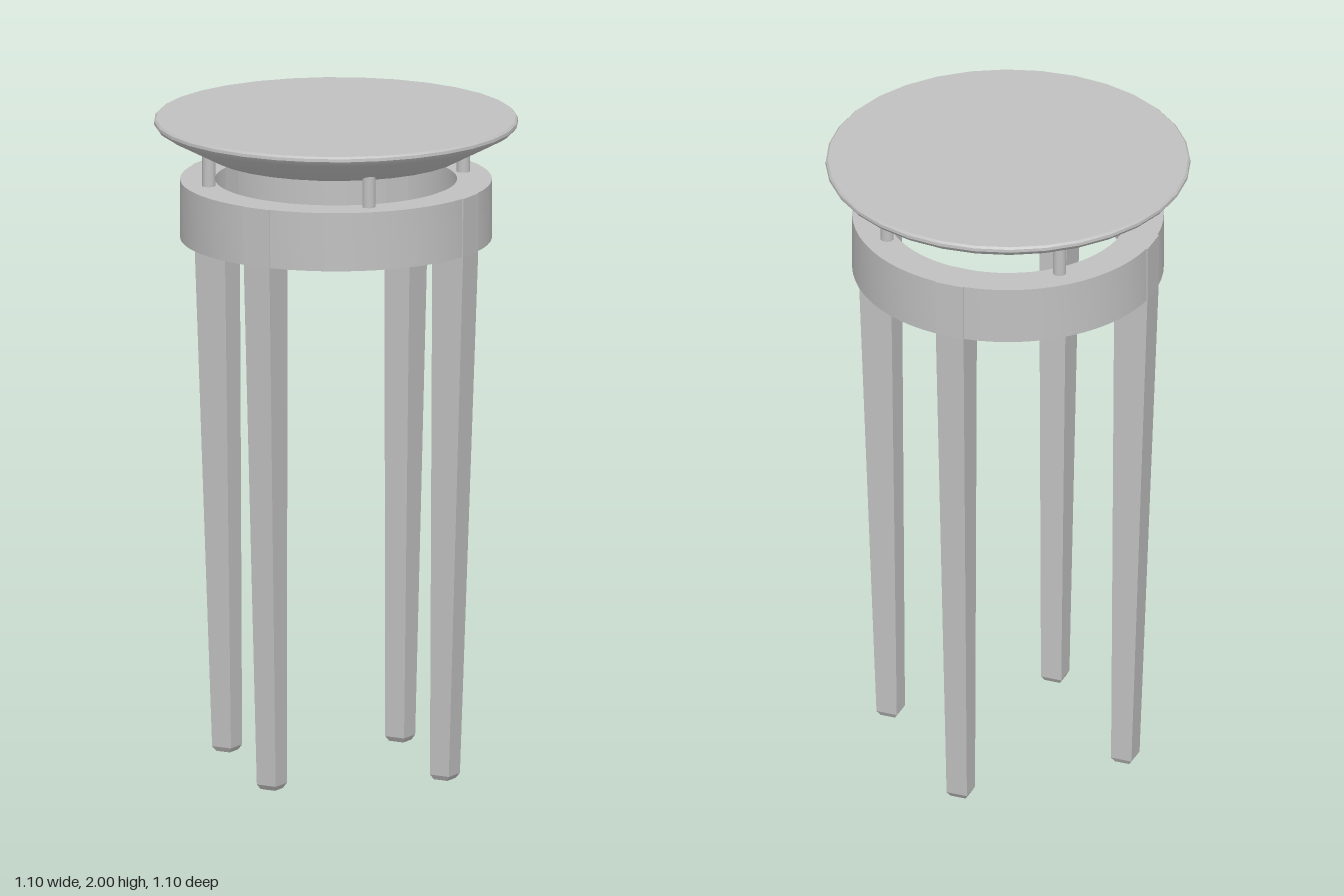
import * as THREE from 'three';
import { toCreasedNormals } from 'three/addons/utils/BufferGeometryUtils.js';

const grey = new THREE.MeshStandardMaterial({ color: 0xc0c0c0 });
grey.name = 'plain grey';

function part(name, geometry) {
  const mesh = new THREE.Mesh(geometry, grey);
  mesh.name = name;
  return mesh;
}

// Turned part from [radius, height] points, with sharp edges kept
function turned(points, segments) {
  const profile = points.map(([r, y]) => new THREE.Vector2(r, y));
  return toCreasedNormals(new THREE.LatheGeometry(profile, segments), 0.6);
}

// Tapered square leg on the +z side, from sections [y, inner z, outer z, half width]
function legGeometry() {
  const sections = [
    [0, 0.357, 0.404, 0.025],
    [0.015, 0.348, 0.414, 0.033],
    [1.63, 0.363, 0.471, 0.045],
    [1.81, 0.363, 0.472, 0.045],
  ];
  const positions = [];
  const index = [];
  for (const [y, inner, outer, w] of sections) {
    positions.push(-w, y, outer, w, y, outer, w, y, inner, -w, y, inner);
  }
  for (let s = 0; s < sections.length - 1; s++) {
    for (let i = 0; i < 4; i++) {
      const a = s * 4 + i;
      const b = s * 4 + (i + 1) % 4;
      index.push(a, b, b + 4, a, b + 4, a + 4);
    }
  }
  const t = (sections.length - 1) * 4;
  index.push(0, 2, 1, 0, 3, 2, t, t + 1, t + 2, t, t + 2, t + 3);
  const geometry = new THREE.BufferGeometry();
  geometry.setAttribute('position', new THREE.Float32BufferAttribute(positions, 3));
  geometry.setIndex(index);
  const flat = geometry.toNonIndexed();
  flat.computeVertexNormals();
  return flat;
}

export function createModel() {
  const model = new THREE.Group();
  model.name = 'stool';

  // Round top with a rounded rim and sloping underside
  model.add(part('top', turned([
    [0, 1.89], [0.385, 1.89], [0.53, 1.966], [0.543, 1.975],
    [0.55, 1.985], [0.549, 1.994], [0.543, 2], [0, 2],
  ], 32)));

  // Ring that joins the legs
  model.add(part('apronRing', turned([
    [0.365, 1.63], [0.47, 1.63], [0.47, 1.81], [0.365, 1.81], [0.365, 1.63],
  ], 64)));

  // Four legs on the axes, four support pins on the diagonals
  const leg = legGeometry();
  const pin = new THREE.CylinderGeometry(0.02, 0.02, 0.11, 16);
  for (let i = 0; i < 4; i++) {
    const legMesh = part('leg', leg);
    legMesh.rotation.y = i * Math.PI / 2;
    model.add(legMesh);

    const angle = (i + 0.5) * Math.PI / 2;
    const pinMesh = part('supportPin', pin);
    pinMesh.position.set(0.396 * Math.sin(angle), 1.855, 0.396 * Math.cos(angle));
    model.add(pinMesh);
  }
  return model;
}
